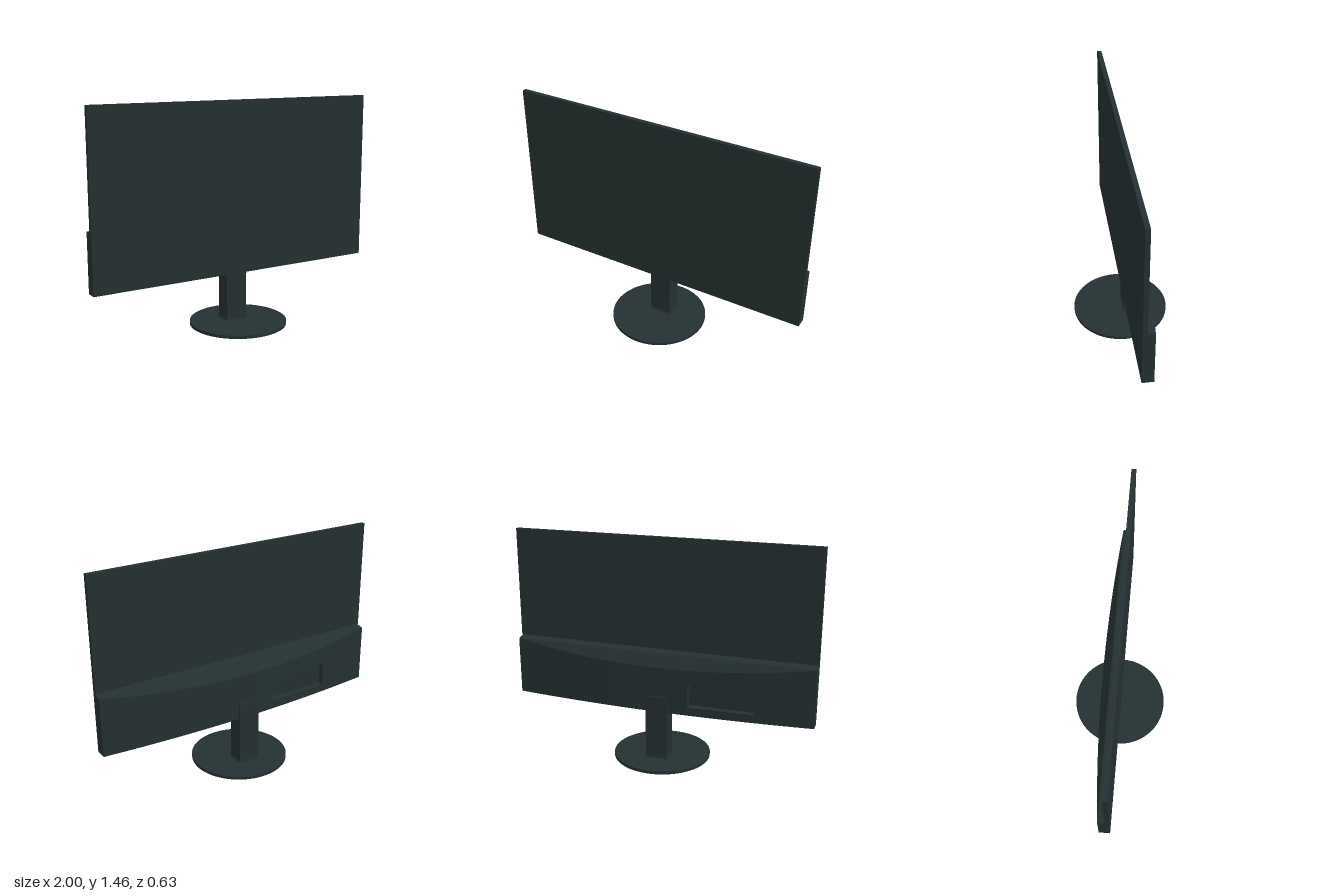
import * as THREE from 'three';
import { toCreasedNormals } from 'three/addons/utils/BufferGeometryUtils.js';

const BOTTOM = 0.34, SEAM = 0.735, TOP = 1.455, FRONT = 0.017;
const RIDGE_Y = 0.72, RIDGE_Z = -0.057, BULGE = 0.053;
const POCKET = { x0: -0.63, x1: -0.2, y0: 0.395, y1: 0.55, z: -0.057 };

// Lower rear housing: bowed back, sloping shoulder and a port pocket
function housingGeometry() {
  const pos = [];
  const tri = (...p) => p.forEach((v) => pos.push(...v));
  const quad = (a, b, c, d) => { tri(a, b, c); tri(a, c, d); };

  // Closed cross-section at x, from the front bottom edge over the top
  const section = (x, pocket) => {
    const k = 1 - x * x;
    const z = RIDGE_Z - BULGE * k;
    const pts = [[x, BOTTOM, FRONT], [x, SEAM, FRONT], [x, RIDGE_Y, RIDGE_Z],
      [x, RIDGE_Y - 0.08 * k, z], [x, POCKET.y1, z]];
    if (pocket) pts.push([x, POCKET.y1, POCKET.z], [x, POCKET.y0, POCKET.z]);
    pts.push([x, POCKET.y0, z], [x, BOTTOM, z]);
    return pts;
  };

  const xs = [POCKET.x0, POCKET.x1];
  for (let i = 0; i <= 32; i++) xs.push(-1 + i / 16);
  xs.sort((a, b) => a - b);
  for (let i = 0; i < xs.length - 1; i++) {
    const mid = (xs[i] + xs[i + 1]) / 2;
    const pocket = mid > POCKET.x0 && mid < POCKET.x1;
    const a = section(xs[i], pocket), b = section(xs[i + 1], pocket);
    a.forEach((p, j) => {
      const n = (j + 1) % a.length;
      quad(p, b[j], b[n], a[n]);
    });
  }

  // End caps
  const l = section(1), r = section(-1);
  for (let i = 1; i < l.length - 1; i++) {
    tri(l[0], l[i + 1], l[i]);
    tri(r[0], r[i], r[i + 1]);
  }

  // Pocket side walls
  const wall = (x) => {
    const z = RIDGE_Z - BULGE * (1 - x * x);
    return [[x, POCKET.y0, POCKET.z], [x, POCKET.y0, z], [x, POCKET.y1, z], [x, POCKET.y1, POCKET.z]];
  };
  quad(...wall(POCKET.x0));
  quad(...wall(POCKET.x1).reverse());

  const g = new THREE.BufferGeometry();
  g.setAttribute('position', new THREE.Float32BufferAttribute(pos, 3));
  return toCreasedNormals(g, 0.3);
}

export function createModel() {
  const group = new THREE.Group();
  const shell = new THREE.MeshStandardMaterial({ color: 0x243031 });
  shell.name = 'dark slate';

  const add = (name, geometry, x = 0, y = 0, z = 0) => {
    const mesh = new THREE.Mesh(geometry, shell);
    mesh.name = name;
    mesh.position.set(x, y, z);
    group.add(mesh);
  };

  // Screen
  add('screenPanel', new THREE.BoxGeometry(2, TOP - SEAM, 0.029), 0, (TOP + SEAM) / 2, FRONT - 0.0145);
  add('rearHousing', housingGeometry());

  // Stand
  add('standColumn', new THREE.BoxGeometry(0.146, 0.425, 0.108), 0, 0.2325, -0.069);
  add('columnCollar', new THREE.BoxGeometry(0.16, 0.012, 0.12), 0, 0.022, -0.069);
  add('baseDisc', new THREE.CylinderGeometry(0.317, 0.317, 0.02, 64), 0, 0.01, 0);
  return group;
}
